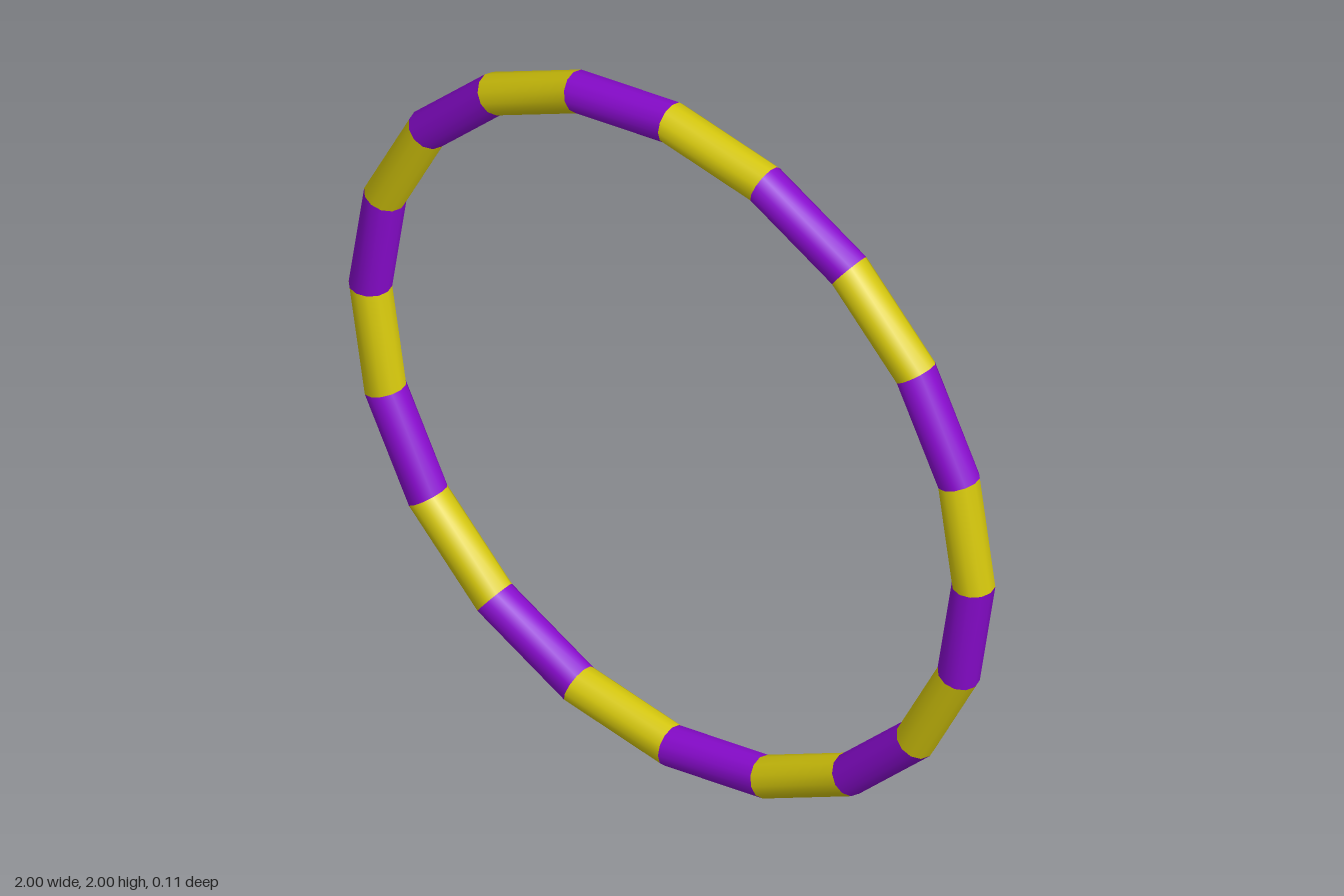
import * as THREE from 'three';
import { mergeVertices } from 'three/addons/utils/BufferGeometryUtils.js';

export function createModel() {
  const model = new THREE.Group();
  model.name = 'stripedHoop';

  const count = 20, tube = 0.0535, ringRadius = 1 - tube;
  const step = (Math.PI * 2) / count;

  // One straight, mitred piece of the hoop, smooth around the tube only
  let segment = new THREE.TorusGeometry(ringRadius, tube, 12, 1, step);
  segment.deleteAttribute('uv');
  segment.deleteAttribute('normal');
  segment = mergeVertices(segment);
  segment.computeVertexNormals();

  const yellow = new THREE.MeshStandardMaterial({ color: 0xd6c80c });
  const purple = new THREE.MeshStandardMaterial({ color: 0x8a0bd0 });

  // Alternating stripes around the ring
  for (let i = 0; i < count; i++) {
    const piece = new THREE.Mesh(segment, i % 2 ? purple : yellow);
    piece.name = i % 2 ? 'purpleSegment' : 'yellowSegment';
    piece.position.y = 1;
    piece.rotation.z = i * step;
    model.add(piece);
  }
  return model;
}
